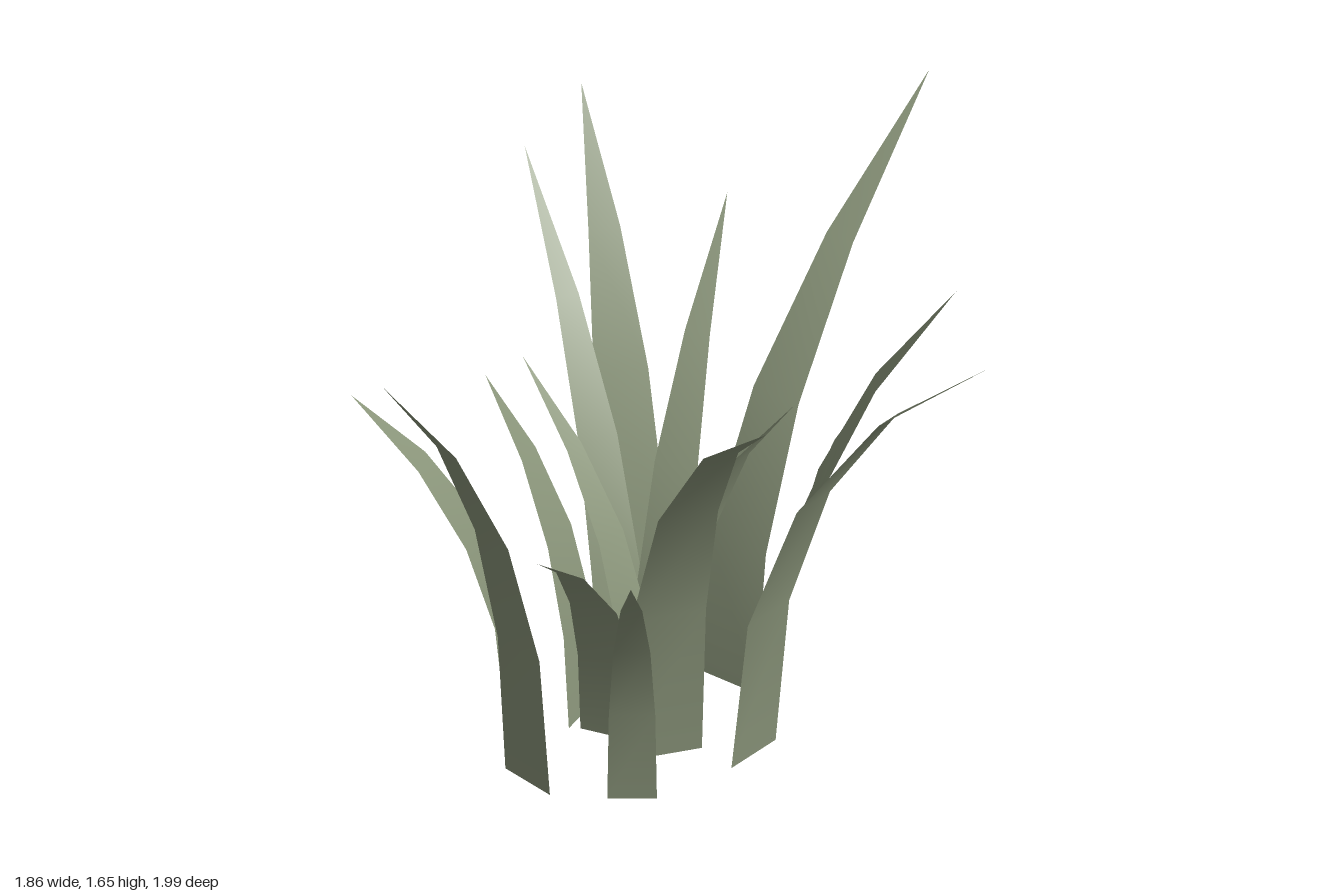
import * as THREE from 'three';

// Each blade: base x, base z, tip x, tip z, base width, height
const BLADES = [
  [-0.09, -0.12, 0.01, -1.0, 0.185, 1.38],
  [-0.175, 0.07, -0.30, -0.51, 0.15, 1.20],
  [-0.355, -0.125, -0.71, -0.49, 0.19, 1.41],
  [-0.275, 0.08, -0.79, -0.34, 0.14, 1.28],
  [0.10, -0.02, 0.51, -0.24, 0.18, 1.35],
  [0.11, 0.03, 0.37, -0.14, 0.10, 1.13],
  [-0.20, 0.12, -0.59, 0.03, 0.12, 0.93],
  [-0.545, 0.165, -0.94, 0.29, 0.20, 0.85],
  [-0.335, 0.17, -0.62, 0.17, 0.16, 0.95],
  [-0.225, 0.225, -0.16, 0.73, 0.17, 0.88],
  [-0.315, 0.50, -0.46, 0.99, 0.16, 1.49],
  [-0.05, 0.435, 0.16, 0.82, 0.125, 0.97],
  [-0.075, 0.235, 0.59, 0.89, 0.21, 1.65],
  [0.125, 0.12, 0.92, 0.31, 0.165, 1.61],
  [-0.10, 0.16, 0.33, 0.28, 0.17, 1.26],
];
const SEGMENTS = 4;

// Flat strip that arcs outward and tapers to a point
function bladeGeometry([bx, bz, tx, tz, width, height]) {
  const dx = tx - bx, dz = tz - bz, reach = Math.hypot(dx, dz);
  const sx = -dz / reach, sz = dx / reach; // sideways direction
  const positions = [], indices = [];
  for (let i = 0; i < SEGMENTS; i++) {
    const t = i / SEGMENTS, out = t * t;
    const half = width / 2 * (1 - out);
    const y = height * (1.2 * t - 0.2 * out);
    for (const s of [-half, half]) {
      positions.push(bx + dx * out + sx * s, y, bz + dz * out + sz * s);
    }
    const a = 2 * i;
    if (i < SEGMENTS - 1) indices.push(a, a + 1, a + 2, a + 1, a + 3, a + 2);
    else indices.push(a, a + 1, a + 2);
  }
  positions.push(tx, height, tz);
  const geometry = new THREE.BufferGeometry();
  geometry.setAttribute('position', new THREE.Float32BufferAttribute(positions, 3));
  geometry.setIndex(indices);
  geometry.computeVertexNormals();
  return geometry;
}

export function createModel() {
  const group = new THREE.Group();
  group.name = 'grassTuft';
  const grass = new THREE.MeshStandardMaterial({ color: 0x8b967b, side: THREE.DoubleSide });
  grass.name = 'grassGreen';
  BLADES.forEach((spec, i) => {
    const blade = new THREE.Mesh(bladeGeometry(spec), grass);
    blade.name = `grassBlade${i + 1}`;
    group.add(blade);
  });
  return group;
}
